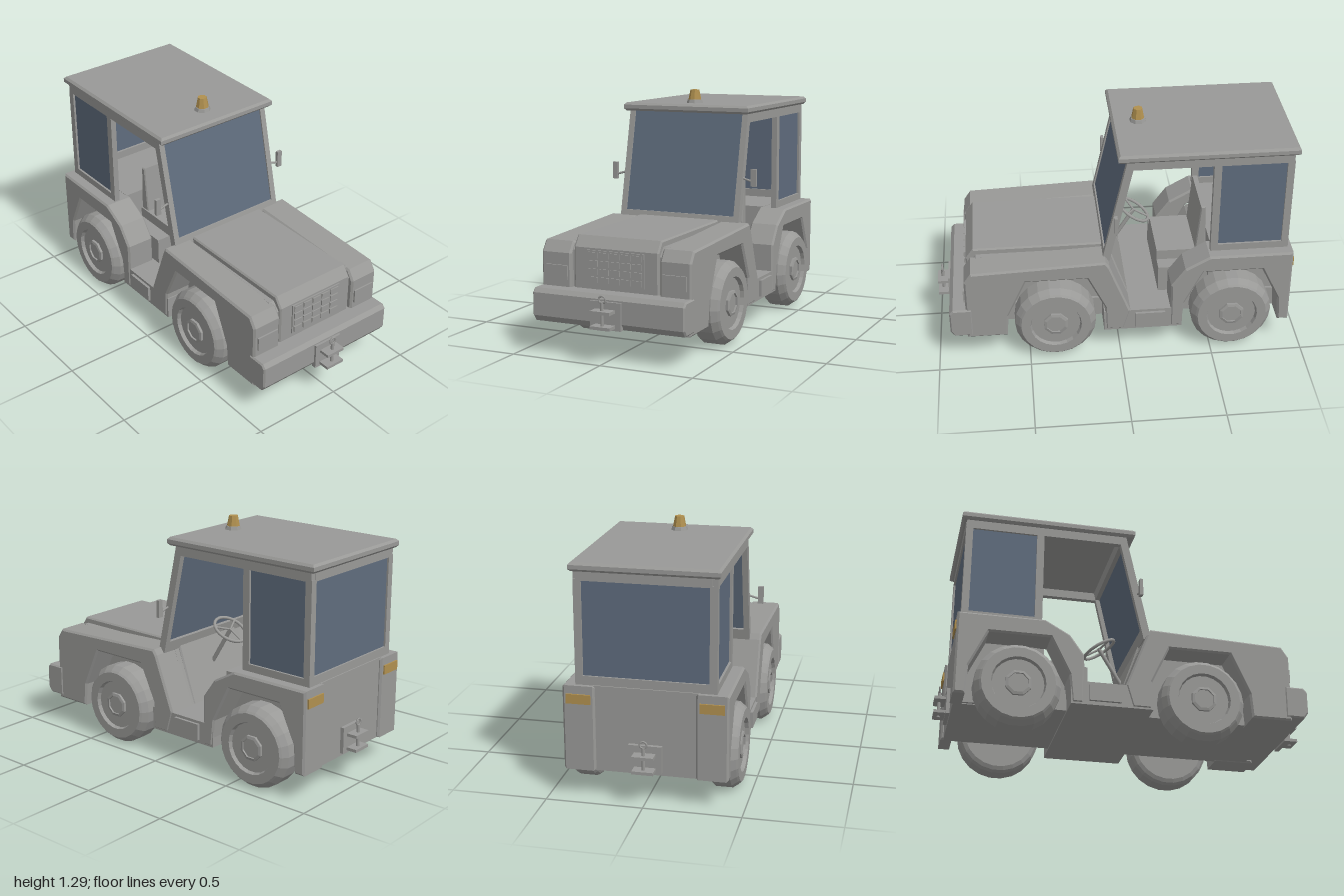
import * as THREE from 'three';

const paint = new THREE.MeshStandardMaterial({ color: 0x999997 });
paint.name = 'grey paint';
const glass = new THREE.MeshStandardMaterial({ color: 0x5f6c7d });
glass.name = 'tinted glass';
const amber = new THREE.MeshStandardMaterial({ color: 0xb0904f });
amber.name = 'amber lens';

export function createModel() {
  const model = new THREE.Group();
  model.name = 'towTractor';

  const add = (name, geometry, material = paint, parent = model) => {
    const mesh = new THREE.Mesh(geometry, material);
    mesh.name = name;
    parent.add(mesh);
    return mesh;
  };
  // box given by its limits on each axis
  const box = (name, x0, x1, y0, y1, z0, z1, material, parent) =>
    add(name, new THREE.BoxGeometry(x1 - x0, y1 - y0, z1 - z0)
      .translate((x0 + x1) / 2, (y0 + y1) / 2, (z0 + z1) / 2), material, parent);
  // side profile of [z, y] points swept from x0 to x1, with an optional chamfer
  const prism = (name, points, x0, x1, bevel = 0, material = paint) => {
    const shape = new THREE.Shape(points.map(([z, y]) => new THREE.Vector2(z, y)));
    const geometry = new THREE.ExtrudeGeometry(shape, {
      depth: x1 - x0 - 2 * bevel, bevelEnabled: bevel > 0, bevelSegments: 1,
      bevelSize: bevel, bevelThickness: bevel, bevelOffset: -bevel,
    });
    return add(name, geometry.rotateY(-Math.PI / 2).translate(x1 - bevel, 0, 0), material);
  };
  // the same profile or box on both sides
  const prismPair = (name, points, x0, x1, bevel, material) => {
    prism(name + 'Left', points, x0, x1, bevel, material);
    prism(name + 'Right', points, -x1, -x0, bevel, material);
  };
  const boxPair = (name, x0, x1, ...rest) => {
    box(name + 'Left', x0, x1, ...rest);
    box(name + 'Right', -x1, -x0, ...rest);
  };
  const facet = (geometry) => {
    const flat = geometry.toNonIndexed();
    flat.computeVertexNormals();
    return flat;
  };
  const rod = (name, a, b, radius, parent) => {
    const path = new THREE.LineCurve3(new THREE.Vector3(...a), new THREE.Vector3(...b));
    return add(name, new THREE.TubeGeometry(path, 1, radius, 8), paint, parent);
  };

  // chassis and inner body
  box('chassis', -0.285, 0.285, 0.155, 0.27, -0.92, 0.8);
  box('floorSill', -0.415, 0.415, 0.145, 0.27, -0.34, 0.09);
  boxPair('doorStep', 0.41, 0.43, 0.165, 0.255, -0.245, -0.08);
  prism('engineBay', [[0.81, 0.2], [0.81, 0.53], [0.77, 0.575], [0.06, 0.575], [-0.05, 0.27], [0, 0.2]], -0.27, 0.27);
  prism('hood', [[0.825, 0.2], [0.825, 0.55], [0.785, 0.607], [0.06, 0.607], [-0.055, 0.27], [0, 0.2]], -0.238, 0.238, 0.008);
  prismPair('frontFender', [[0.838, 0.15], [0.838, 0.515], [0.8, 0.572], [0.08, 0.6], [0.06, 0.57], [-0.055, 0.27],
    [-0.02, 0.15], [0.08, 0.15], [0.085, 0.3], [0.18, 0.5], [0.51, 0.5], [0.61, 0.28], [0.62, 0.15]], 0.25, 0.42, 0.01);
  box('rearBody', -0.27, 0.27, 0.15, 0.6, -0.92, -0.5);
  prismPair('rearFender', [[-0.275, 0.15], [-0.275, 0.42], [-0.35, 0.525], [-0.48, 0.598], [-0.935, 0.598], [-0.935, 0.15],
    [-0.875, 0.15], [-0.865, 0.3], [-0.77, 0.5], [-0.45, 0.5], [-0.35, 0.3], [-0.335, 0.15]], 0.255, 0.42, 0.01);
  boxPair('tailLight', 0.275, 0.4, 0.505, 0.555, -0.943, -0.934, amber);

  // front bumper, headlights and grille
  prism('bumper', [[0.805, 0.168], [0.905, 0.168], [0.928, 0.2], [0.928, 0.318], [0.908, 0.34], [0.805, 0.34]], -0.425, 0.425, 0.008);
  boxPair('headlight', 0.267, 0.397, 0.377, 0.452, 0.83, 0.847);
  box('grillePanel', -0.16, 0.16, 0.365, 0.54, 0.82, 0.832);
  for (let row = 0; row < 4; row++) {
    for (let col = 0; col < 5; col++) {
      const x = (col - 2) * 0.062, y = 0.39 + row * 0.042;
      box('grilleCell', x - 0.026, x + 0.026, y - 0.015, y + 0.015, 0.83, 0.838);
    }
  }

  // tow hitch, built facing +z and turned for the rear
  for (const [name, angle, reach] of [['frontHitch', 0, 0], ['rearHitch', Math.PI, 0]]) {
    const hitch = new THREE.Group();
    hitch.name = name;
    hitch.rotation.y = angle;
    box('hitchPlate', -0.085, 0.085, 0.168, 0.31, 0.915 + reach, 0.94, paint, hitch);
    for (const y of [0.188, 0.265]) box('hitchJaw', -0.055, 0.055, y - 0.008, y + 0.008, 0.935, 1, paint, hitch);
    rod('hitchPin', [0, 0.172, 0.972], [0, 0.315, 0.972], 0.009, hitch);
    add('pinRing', new THREE.TorusGeometry(0.018, 0.005, 6, 14).translate(0, 0.328, 0.972), paint, hitch);
    model.add(hitch);
  }

  // wheels: lathed tyre with recessed rim and an octagonal hub
  const tyreProfile = [[0, 0.29], [0.19, 0.29], [0.21, 0.3], [0.222, 0.315], [0.222, 0.405], [0.2, 0.435], [0.19, 0.445],
    [0.14, 0.445], [0.133, 0.425], [0, 0.425]].map(([r, x]) => new THREE.Vector2(r, x));
  const tyre = facet(new THREE.LatheGeometry(tyreProfile, 22).rotateZ(-Math.PI / 2));
  const hubProfile = [[0.07, 0.42], [0.07, 0.438], [0.055, 0.442], [0.055, 0.432], [0, 0.432]]
    .map(([r, x]) => new THREE.Vector2(r, x));
  const hub = facet(new THREE.LatheGeometry(hubProfile, 8).rotateX(0)
    .rotateY(Math.PI / 8).rotateZ(-Math.PI / 2));
  for (const z of [0.355, -0.612]) {
    for (const side of [1, -1]) {
      const wheel = new THREE.Group();
      wheel.name = (z > 0 ? 'front' : 'rear') + 'Wheel' + (side > 0 ? 'Left' : 'Right');
      wheel.position.set(0, 0.222, z);
      wheel.rotation.y = side > 0 ? 0 : Math.PI;
      add('tyre', tyre, paint, wheel);
      add('hub', hub, paint, wheel);
      model.add(wheel);
    }
  }

  // cab: sloping windscreen between leaning pillars
  const lean = (y, offset = 0) => [0.097 - (y - 0.57) * 0.221 + offset, y];
  const slab = (y0, y1, front, back) => [lean(y0, front), lean(y1, front), lean(y1, back), lean(y0, back)];
  prismPair('frontPillar', slab(0.57, 1.19, 0, -0.042), 0.325, 0.357);
  prism('windscreenSill', slab(0.57, 0.63, 0, -0.042), -0.33, 0.33);
  prism('windscreen', slab(0.625, 1.185, -0.008, -0.017), -0.326, 0.326, 0, glass);
  prism('windscreenHeader', slab(1.135, 1.19, -0.017, -0.042), -0.326, 0.326);
  boxPair('doorHeader', 0.325, 0.357, 1.13, 1.19, -0.91, -0.065);
  boxPair('middlePillar', 0.325, 0.357, 0.59, 1.14, -0.53, -0.49);
  boxPair('rearPillar', 0.318, 0.357, 0.59, 1.14, -0.913, -0.875);
  boxPair('sideWindowSill', 0.325, 0.357, 0.59, 0.637, -0.88, -0.52);
  boxPair('sideWindow', 0.336, 0.345, 0.63, 1.135, -0.88, -0.525, glass);
  box('rearWindowSill', -0.32, 0.32, 0.59, 0.645, -0.913, -0.88);
  box('rearWindowHeader', -0.33, 0.33, 1.13, 1.19, -0.913, -0.88);
  box('rearWindow', -0.32, 0.32, 0.64, 1.135, -0.903, -0.894, glass);

  // chamfered roof slab
  const plan = new THREE.Shape([[-0.375, -0.01], [0.375, -0.01], [0.375, 0.935], [-0.375, 0.935]]
    .map(([x, y]) => new THREE.Vector2(x, y)));
  add('roof', new THREE.ExtrudeGeometry(plan, {
    depth: 0.021, bevelSegments: 1, bevelSize: 0.012, bevelThickness: 0.012, bevelOffset: -0.012,
  }).rotateX(-Math.PI / 2).translate(0, 1.19, 0));

  // beacon
  const turned = (top, bottom, y0, y1) => facet(new THREE.CylinderGeometry(top, bottom, y1 - y0, 8)
    .rotateY(Math.PI / 8).translate(0, (y0 + y1) / 2, -0.13));
  add('beaconBase', turned(0.04, 0.047, 1.22, 1.242));
  add('beaconLens', turned(0.025, 0.036, 1.24, 1.297), amber);

  // mirrors
  boxPair('mirror', 0.405, 0.435, 0.793, 0.888, 0.018, 0.036);
  for (const s of [1, -1]) rod('mirrorArm', [s * 0.345, 0.838, 0.025], [s * 0.41, 0.82, 0.027], 0.006);

  // seat and steering
  box('seatBase', -0.25, 0.25, 0.26, 0.425, -0.5, -0.225);
  box('seatCushion', -0.17, 0.17, 0.42, 0.483, -0.5, -0.225);
  prism('seatBack', [[-0.44, 0.48], [-0.465, 0.755], [-0.492, 0.755], [-0.5, 0.48]], -0.165, 0.165, 0.006);
  rod('steeringColumn', [0, 0.43, 0.025], [0, 0.66, -0.115], 0.012);
  const steering = new THREE.Group();
  steering.name = 'steeringWheel';
  steering.position.set(0, 0.655, -0.112);
  steering.rotation.x = -Math.PI / 2 - 0.55;
  add('steeringRim', new THREE.TorusGeometry(0.095, 0.009, 8, 24), paint, steering);
  for (let i = 0; i < 3; i++) {
    const a = Math.PI / 2 + i * Math.PI * 2 / 3;
    rod('steeringSpoke', [0, 0, 0], [Math.cos(a) * 0.095, Math.sin(a) * 0.095, 0], 0.006, steering);
  }
  model.add(steering);

  return model;
}
